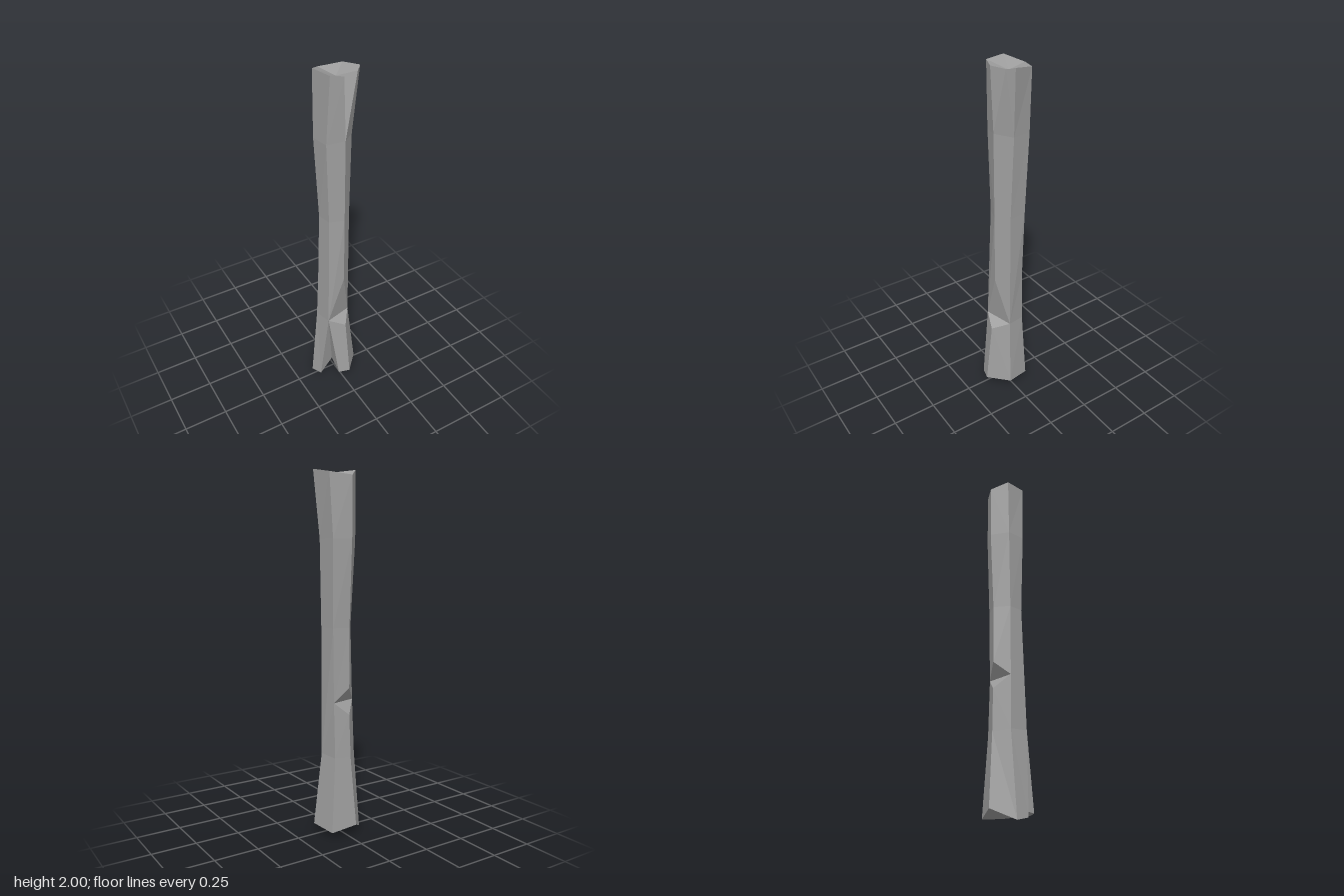
import * as THREE from 'three';

export function createModel() {
  const stone = new THREE.MeshStandardMaterial({ color: 0x9e9e9e });
  const positions = [];
  const tri = (a, b, c) => positions.push(...a, ...b, ...c);

  // Joins two vertical edges (each listed bottom to top) with triangles.
  const wall = (a, b) => {
    let i = 0, j = 0;
    while (i < a.length - 1 || j < b.length - 1) {
      const stepA = j === b.length - 1 || (i < a.length - 1 && a[i + 1][1] < b[j + 1][1]);
      if (stepA) { tri(a[i], b[j], a[i + 1]); i++; }
      else { tri(a[i], b[j], b[j + 1]); j++; }
    }
  };
  // Closes a loop of points around a centre point.
  const fan = (centre, loop, down) => loop.forEach((p, i) => {
    const q = loop[(i + 1) % loop.length];
    if (down) tri(centre, q, p); else tri(centre, p, q);
  });

  // Front edge: cut by a ledge, split by a crack at the top
  const frontLow = [[0.033, 0.06, 0.138], [0.026, 0.42, 0.095]];
  const frontUp = [[0.026, 0.76, 0.07], [0.026, 1.17, 0.07], [0.025, 1.65, 0.072]];
  const crackTopLeft = [0.01, 1.99, 0.078], crackTopRight = [0.1, 1.99, 0.05];
  // +x edge
  const sideLow = [[0.13, 0.05, 0.03], [0.09, 0.46, 0.01]];
  const sideUp = [sideLow[1], [0.09, 1.17, 0.01], [0.103, 1.64, 0.002], [0.133, 2, 0.017]];
  // Back +x edge
  const backSideLow = [[0.095, 0.03, -0.107], [0.067, 0.45, -0.093], [0.07, 0.76, -0.085]];
  const backSideUp = [backSideLow[2], [0.078, 1.17, -0.09], [0.087, 1.64, -0.104], [0.105, 1.98, -0.097]];
  // Back edge: cut by a notch
  const backLow = [[-0.042, 0.06, -0.14], [-0.02, 0.45, -0.115], [-0.014, 0.69, -0.11]];
  const backUp = [[-0.013, 0.84, -0.11], [-0.012, 1.17, -0.112], [-0.012, 1.64, -0.135], [-0.011, 1.965, -0.138]];
  // -x edge
  const farLow = [[-0.135, 0, -0.037], [-0.09, 0.46, -0.045], [-0.08, 0.76, -0.04]];
  const farUp = [farLow[2], [-0.07, 1.17, -0.037], [-0.087, 1.64, -0.055], [-0.083, 2, -0.06]];
  // Front -x edge: split by a crack at the bottom
  const apex = [-0.07, 0.47, 0.06];
  const crackLowFront = [-0.033, 0.06, 0.12], crackLowFar = [-0.115, 0.02, 0.038];
  const cornerUp = [apex, [-0.054, 1.17, 0.042], [-0.07, 1.64, 0.046], [-0.055, 2, 0.058]];

  // Six sides
  wall(frontLow, sideLow);
  wall([...frontUp, crackTopRight], sideUp);
  wall([...sideLow, ...sideUp.slice(1)], [...backSideLow, ...backSideUp.slice(1)]);
  wall(backSideLow, backLow);
  wall(backSideUp, backUp);
  wall(backLow, farLow);
  wall(backUp, farUp);
  wall([...farLow, ...farUp.slice(1)], [crackLowFar, ...cornerUp]);
  wall([crackLowFront, apex], frontLow);
  wall(cornerUp, [...frontUp, crackTopLeft]);

  // Front ledge and the slope above it
  tri(apex, frontLow[1], sideLow[1]);
  tri(apex, sideLow[1], frontUp[0]);
  // Back notch
  tri(backSideLow[2], backLow[2], farLow[2]);
  tri(backSideLow[2], farLow[2], backUp[0]);

  // Broken ends, including the crack faces
  const last = (e) => e[e.length - 1];
  fan([0.022, 1.955, -0.02],
    [last(frontUp), crackTopRight, ...[sideUp, backSideUp, backUp, farUp, cornerUp].map(last), crackTopLeft]);
  fan([-0.02, 0.08, 0.01],
    [frontLow[0], sideLow[0], backSideLow[0], backLow[0], farLow[0], crackLowFar, apex, crackLowFront], true);

  const geometry = new THREE.BufferGeometry();
  geometry.setAttribute('position', new THREE.Float32BufferAttribute(positions, 3));
  geometry.computeVertexNormals();
  const mesh = new THREE.Mesh(geometry, stone);
  mesh.name = 'chippedPillar';

  const group = new THREE.Group();
  group.name = 'pillar';
  group.add(mesh);
  return group;
}
